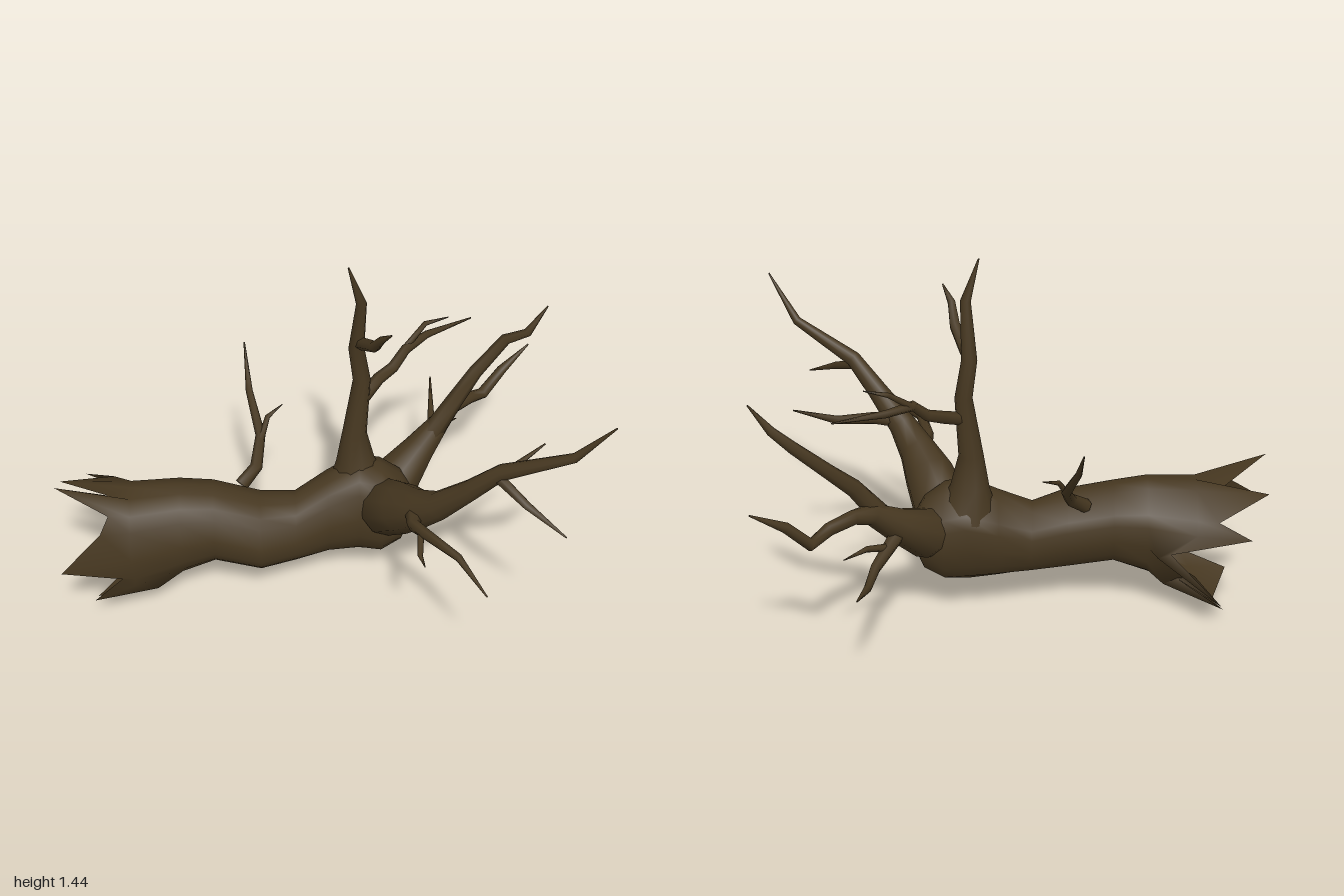
import * as THREE from 'three';

const bark = new THREE.MeshStandardMaterial({ color: 0x463720, side: THREE.DoubleSide });
bark.name = 'dark bark';

const V = (x, y, z) => new THREE.Vector3(x, y, z);

// Skin a list of equal-length rings, with smooth normals
function loft(rings) {
  const n = rings[0].length;
  const index = [];
  for (let i = 0; i < rings.length - 1; i++) {
    for (let j = 0; j < n; j++) {
      const k = (j + 1) % n;
      const a = i * n + j, b = i * n + k, c = a + n, d = b + n;
      index.push(a, b, d, a, d, c);
    }
  }
  const g = new THREE.BufferGeometry().setFromPoints(rings.flat());
  g.setIndex(index);
  g.computeVertexNormals();
  return g;
}

// Tapering limb through points [x, y, z, radius]
function limb(path, sides) {
  const pts = path.map(p => V(p[0], p[1], p[2]));
  const last = pts.length - 1;
  let normal = V(0.31, 0.17, 0.93);
  const rings = pts.map((p, i) => {
    const t = pts[Math.min(i + 1, last)].clone().sub(pts[Math.max(i - 1, 0)]).normalize();
    normal = normal.clone().addScaledVector(t, -normal.dot(t)).normalize();
    const side = t.clone().cross(normal);
    return Array.from({ length: sides }, (_, j) => {
      const a = (j / sides) * Math.PI * 2;
      return p.clone()
        .addScaledVector(normal, Math.cos(a) * path[i][3])
        .addScaledVector(side, Math.sin(a) * path[i][3]);
    });
  });
  return loft(rings);
}

// Splintered rim of the broken end: long tips with notches between them
const rim = [
  [-0.81, 0.47, 0.05], [-1, 0.59, 0.14], [-0.8, 0.49, 0.2], [-0.83, 0.45, 0.26],
  [-0.98, 0.33, 0.34], [-0.76, 0.23, 0.27], [-0.87, 0.14, 0.29], [-0.68, 0.135, 0.2],
  [-0.87, 0.06, 0.18], [-0.8, 0, 0], [-0.83, 0.05, -0.15], [-0.65, 0.15, -0.08],
  [-0.81, 0.12, -0.25], [-0.62, 0.28, -0.13], [-0.92, 0.38, -0.2], [-0.8, 0.42, -0.13],
  [-1, 0.49, -0.02],
];

// Trunk sections: x, bottom, top, back, front
const splitSection = [-0.72, 0.05, 0.515, -0.12, 0.26];
const sections = [
  [-0.53, 0.125, 0.52, -0.11, 0.23], [-0.4, 0.178, 0.5, -0.11, 0.215],
  [-0.22, 0.14, 0.455, -0.09, 0.23], [-0.08, 0.138, 0.42, -0.11, 0.17],
  [0.05, 0.138, 0.49, -0.155, 0.13], [0.17, 0.13, 0.55, -0.18, 0.12],
  [0.26, 0.128, 0.53, -0.19, 0.14], [0.34, 0.18, 0.47, -0.17, 0.11],
  [0.375, 0.27, 0.41, -0.13, 0.05], [0.385, 0.34, 0.34, -0.04, -0.04],
];

function trunk() {
  const angles = rim.map(p => Math.atan2(p[2] - 0.06, p[1] - 0.3));
  const ellipse = ([x, y0, y1, z0, z1]) => angles.map(a => V(
    x,
    (y0 + y1) / 2 + Math.cos(a) * (y1 - y0) / 2,
    (z0 + z1) / 2 + Math.sin(a) * (z1 - z0) / 2));
  // The first section steps back behind the deeper notches
  const split = ellipse(splitSection);
  split.forEach((p, j) => { p.x = Math.max(p.x, rim[j][0] + 0.05); });
  return loft([rim.map(p => V(...p)), split, ...sections.map(ellipse)]);
}

const limbs = {
  // Upright limb and its offshoots
  uprightLimb: [[0.17, 0.42, -0.05, 0.12], [0.16, 0.54, -0.055, 0.075], [0.155, 0.67, -0.055, 0.048],
    [0.18, 0.91, -0.07, 0.034], [0.157, 1.06, -0.065, 0.03], [0.17, 1.28, -0.03, 0.02], [0.12, 1.44, -0.02, 0.003]],
  uprightFork: [[0.17, 1.09, -0.05, 0.025], [0.215, 1.15, 0.06, 0.022], [0.23, 1.22, 0.125, 0.016], [0.265, 1.275, 0.175, 0.003]],
  uprightSideBranch: [[0.18, 0.82, -0.06, 0.026], [0.25, 0.86, -0.14, 0.024], [0.31, 0.885, -0.18, 0.022],
    [0.36, 0.94, -0.22, 0.02], [0.45, 0.945, -0.31, 0.015], [0.635, 0.95, -0.41, 0.003]],
  uprightTwig: [[0.36, 0.94, -0.23, 0.013], [0.44, 1.01, -0.29, 0.01], [0.53, 1.03, -0.3, 0.002]],

  // Front limb and its offshoots
  frontLimb: [[0.24, 0.33, -0.03, 0.06], [0.28, 0.39, 0.07, 0.115], [0.335, 0.475, 0.18, 0.1], [0.385, 0.54, 0.265, 0.075],
    [0.45, 0.62, 0.34, 0.055], [0.55, 0.74, 0.4, 0.04], [0.65, 0.86, 0.45, 0.031], [0.885, 0.99, 0.54, 0.018], [1, 1.17, 0.61, 0.003]],
  frontLowBranch: [[0.36, 0.54, 0.27, 0.035], [0.35, 0.56, 0.38, 0.025], [0.38, 0.6, 0.47, 0.021],
    [0.49, 0.6, 0.61, 0.015], [0.58, 0.53, 0.745, 0.003]],
  frontLowTwig: [[0.37, 0.59, 0.44, 0.013], [0.36, 0.55, 0.54, 0.01], [0.37, 0.56, 0.61, 0.002]],
  frontInnerBranch: [[0.46, 0.63, 0.35, 0.027], [0.56, 0.66, 0.31, 0.024], [0.7, 0.68, 0.24, 0.017], [0.86, 0.755, 0.16, 0.003]],
  frontOuterBranch: [[0.63, 0.84, 0.44, 0.023], [0.73, 0.79, 0.555, 0.017], [0.86, 0.725, 0.66, 0.003]],

  // Rear limb and its offshoots
  rearLimb: [[0.25, 0.32, -0.05, 0.06], [0.33, 0.37, -0.13, 0.1], [0.43, 0.45, -0.22, 0.066], [0.52, 0.53, -0.29, 0.042],
    [0.58, 0.55, -0.36, 0.028], [0.66, 0.54, -0.435, 0.025], [0.72, 0.51, -0.5, 0.024], [0.8, 0.6, -0.54, 0.02], [0.915, 0.68, -0.605, 0.003]],
  rearTallBranch: [[0.46, 0.47, -0.24, 0.045], [0.58, 0.64, -0.295, 0.034], [0.66, 0.73, -0.35, 0.028],
    [0.78, 0.85, -0.4, 0.023], [0.86, 0.9, -0.37, 0.018], [0.935, 1.01, -0.39, 0.003]],
  rearLowBranch: [[0.42, 0.43, -0.23, 0.032], [0.5, 0.36, -0.4, 0.021], [0.515, 0.35, -0.53, 0.016], [0.53, 0.42, -0.75, 0.003]],
  rearLowTwig: [[0.46, 0.4, -0.31, 0.016], [0.53, 0.435, -0.39, 0.012], [0.61, 0.42, -0.45, 0.002]],

  // Sprout on the trunk
  trunkSprout: [[-0.29, 0.44, -0.03, 0.028], [-0.23, 0.49, -0.08, 0.025], [-0.21, 0.57, -0.18, 0.02],
    [-0.25, 0.7, -0.3, 0.014], [-0.265, 0.84, -0.44, 0.003]],
  trunkSproutTwig: [[-0.21, 0.56, -0.16, 0.014], [-0.18, 0.63, -0.22, 0.01], [-0.12, 0.655, -0.265, 0.002]],
};

export function createModel() {
  const model = new THREE.Group();
  model.name = 'fallenTree';
  const add = (name, geometry) => {
    const mesh = new THREE.Mesh(geometry, bark);
    mesh.name = name;
    model.add(mesh);
  };
  add('trunk', trunk());
  for (const [name, path] of Object.entries(limbs)) {
    add(name, limb(path, path[0][3] > 0.05 ? 10 : 6));
  }
  return model;
}
